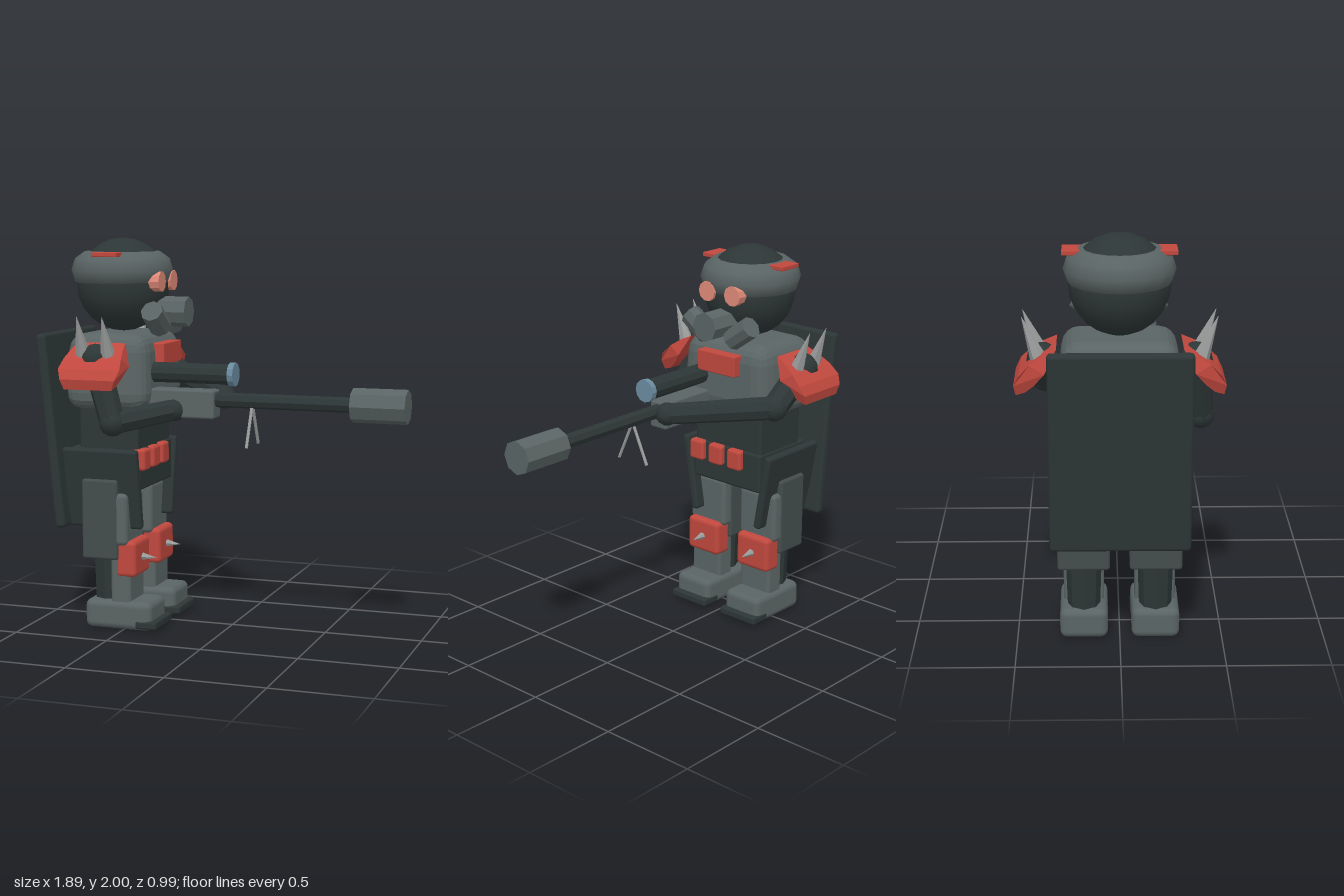
import * as THREE from 'three';
import { RoundedBoxGeometry } from 'three/addons/geometries/RoundedBoxGeometry.js';

const V = (x, y, z) => new THREE.Vector3(x, y, z);

function paint(name, hex) {
  const m = new THREE.MeshStandardMaterial({ color: hex });
  m.name = name;
  return m;
}

export function createModel() {
  const light = paint('lightGrey', 0x5a6464);
  const mid = paint('midGrey', 0x434c4c);
  const dark = paint('darkGrey', 0x2d3636);
  const red = paint('red', 0xc0483e);
  const salmon = paint('salmon', 0xe08a78);
  const steel = paint('steel', 0x9a9c9c);
  const glass = paint('glass', 0x6a8ba0);

  const root = new THREE.Group();
  root.name = 'armouredMarksman';

  function add(name, geo, mat, pos = V(0, 0, 0)) {
    const m = new THREE.Mesh(geo, mat);
    m.name = name;
    m.position.copy(pos);
    root.add(m);
    return m;
  }
  // Rounded box given by its limits on each axis
  function box(name, mat, [x0, x1], [y0, y1], [z0, z1], r = 0.015) {
    const geo = new RoundedBoxGeometry(x1 - x0, y1 - y0, z1 - z0, 2, r);
    return add(name, geo, mat, V((x0 + x1) / 2, (y0 + y1) / 2, (z0 + z1) / 2));
  }
  // Faceted cylinder or cone from point a to point b
  function rod(name, mat, a, b, ra, rb = ra, sides = 8) {
    const d = b.clone().sub(a);
    const geo = new THREE.CylinderGeometry(rb, ra, d.length(), sides).toNonIndexed();
    geo.computeVertexNormals();
    const m = add(name, geo, mat, a.clone().add(b).multiplyScalar(0.5));
    m.quaternion.setFromUnitVectors(V(0, 1, 0), d.normalize());
    return m;
  }
  const ball = (name, mat, p, r) => add(name, new THREE.SphereGeometry(r, 10, 8), mat, p);

  // Head with padded helmet ring
  add('head', new THREE.SphereGeometry(0.24, 16, 12), dark, V(-0.595, 1.76, 0));
  const ring = add('helmetRing', new THREE.TorusGeometry(0.163, 0.1, 10, 16), light, V(-0.6, 1.835, 0));
  ring.rotation.x = Math.PI / 2;

  // Breathing mask
  rod('maskSnout', light, V(-0.42, 1.625, 0), V(-0.235, 1.625, 0), 0.077);

  // Torso, tapered toward the shoulders
  const torso = box('torso', light, [-0.82, -0.365], [1.13, 1.52], [-0.3, 0.3], 0.09);
  const tp = torso.geometry.attributes.position;
  for (let i = 0; i < tp.count; i++) {
    const k = 1 - 0.1 * (tp.getY(i) / 0.39 + 0.5);
    tp.setXYZ(i, tp.getX(i) * (0.5 + k / 2), tp.getY(i), tp.getZ(i) * k);
  }
  torso.geometry.computeVertexNormals();
  box('chestPlate', red, [-0.4, -0.325], [1.36, 1.47], [-0.125, 0.125], 0.006);
  box('abdomen', dark, [-0.755, -0.43], [0.92, 1.15], [-0.225, 0.225]);
  box('pelvis', dark, [-0.8, -0.42], [0.72, 0.935], [-0.23, 0.23]);
  for (const z of [0.19, 0.06, -0.07])
    box('beltPouch', red, [-0.46, -0.39], [0.825, 0.935], [z - 0.047, z + 0.047]);

  // Leaning back board
  const board = box('backBoard', dark, [-0.9, -0.845], [0.52, 1.52], [-0.335, 0.335], 0.02);
  board.rotation.z = 0.098;

  // Crescent section of a shoulder pad, drawn in (z, y)
  const crescent = new THREE.Shape([
    [0.295, 1.48], [0.36, 1.45], [0.42, 1.41], [0.47, 1.36], [0.495, 1.31], [0.485, 1.26],
    [0.44, 1.275], [0.4, 1.31], [0.35, 1.37],
  ].map(([z, y]) => new THREE.Vector2(z, y)));

  for (const s of [1, -1]) {
    // Helmet tabs, eyes and mask filters
    box('helmetTab', red, [-0.66, -0.525], [1.907, 1.93], [s * 0.215 - 0.053, s * 0.215 + 0.053], 0.004);
    rod('eyeLens', salmon, V(-0.43, 1.78, s * 0.085), V(-0.348, 1.78, s * 0.085), 0.053, 0.053, 10);
    rod('maskFilter', light, V(-0.36, 1.55, s * 0.08), V(-0.36, 1.638, s * 0.205), 0.058);

    // Shoulder pad, widest at mid height
    const pad = new THREE.ExtrudeGeometry(crescent, { depth: 0.336, bevelEnabled: false });
    pad.translate(0, 0, -0.168);
    pad.rotateY(-Math.PI / 2);
    const p = pad.attributes.position;
    for (let i = 0; i < p.count; i++)
      p.setX(i, p.getX(i) * (1 - 0.24 * Math.abs(p.getY(i) - 1.37) / 0.11));
    if (s < 0) pad.rotateY(Math.PI).computeVertexNormals();
    pad.computeVertexNormals();
    add('shoulderPad', pad, red, V(-0.593, 0, 0));
    for (const x of [-0.66, -0.525])
      rod('shoulderSpike', steel, V(x, 1.41, s * 0.375), V(x, 1.62, s * 0.455), 0.042, 0.001, 6);

    // Side skirt slab, leaning inward at the hem
    const skirt = box('sideSkirt', dark, [-0.82, -0.41], [0.52, 0.94], [s * 0.252 - 0.022, s * 0.252 + 0.022]);
    skirt.rotation.x = s * 0.17;

    // Leg
    const c = s * 0.175;
    const span = (w) => [c - w, c + w];
    box('thigh', mid, [-0.715, -0.52], [0.365, 0.78], span(0.127));
    box('thighPlate', light, [-0.63, -0.47], [0.44, 0.71], span(0.122), 0.025);
    rod('lowerLeg', dark, V(-0.61, 0.1, c), V(-0.61, 0.45, c), 0.078, 0.09);
    box('shinGuard', light, [-0.57, -0.46], [0.12, 0.45], span(0.1), 0.02);
    box('kneePad', red, [-0.54, -0.43], [0.275, 0.465], span(0.108), 0.025);
    rod('kneeSpike', steel, V(-0.44, 0.37, c), V(-0.355, 0.367, c), 0.022, 0.001, 6);
    box('boot', light, [-0.71, -0.345], [0, 0.15], span(0.117), 0.035);
    box('toeCap', dark, [-0.43, -0.315], [0.012, 0.055], span(0.12), 0.012);
  }

  // Arms holding the rifle
  const arms = [
    [V(-0.6, 1.4, 0.36), V(-0.5, 1.09, 0.39), V(-0.25, 1.14, 0.17)],
    [V(-0.6, 1.4, -0.36), V(-0.37, 1.24, -0.36), V(-0.02, 1.2, 0.06)],
  ];
  for (const [shoulder, elbow, hand] of arms) {
    ball('shoulder', dark, shoulder, 0.08);
    rod('upperArm', dark, shoulder, elbow, 0.07, 0.065);
    ball('elbow', dark, elbow, 0.069);
    rod('forearm', dark, elbow, hand, 0.062, 0.055);
    ball('hand', dark, hand, 0.06);
  }

  // Rifle
  const g = 0.14;
  box('rifleReceiver', light, [-0.4, -0.035], [1.1, 1.245], [g - 0.055, g + 0.055], 0.012);
  rod('rifleBarrel', dark, V(-0.06, 1.195, g), V(0.7, 1.195, g), 0.038);
  rod('rifleMuzzle', light, V(0.67, 1.195, g), V(0.945, 1.195, g), 0.086);
  rod('scopeTube', dark, V(-0.45, 1.325, g), V(0.045, 1.325, g), 0.052, 0.052, 10);
  rod('scopeLens', glass, V(0.035, 1.325, g), V(0.065, 1.325, g), 0.06, 0.06, 12);
  for (const s of [1, -1])
    rod('bipodLeg', steel, V(0.152, 1.17, g + s * 0.005), V(0.152, 0.97, g + s * 0.097), 0.008, 0.008, 6);

  return root;
}
